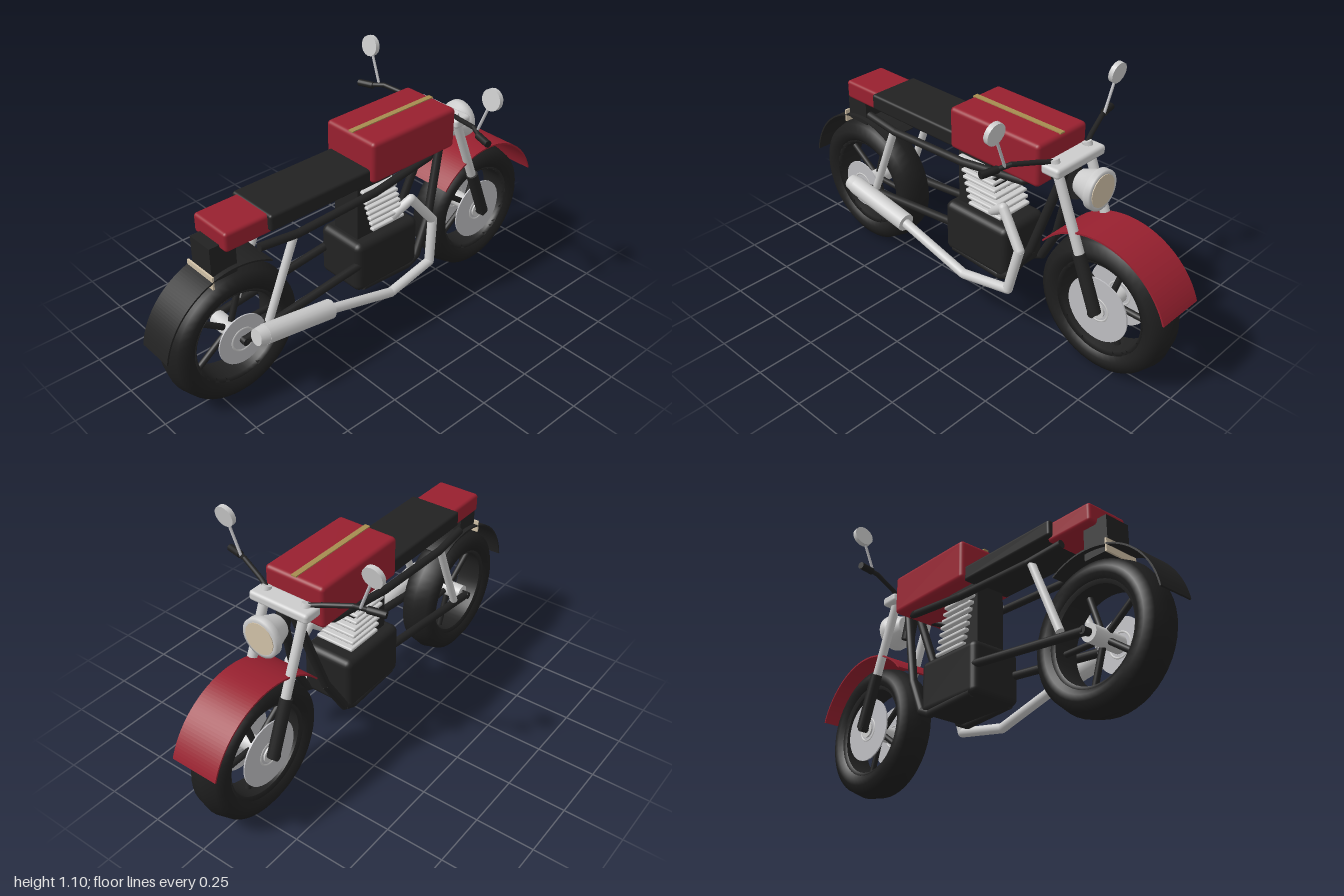
import * as THREE from 'three';
import { RoundedBoxGeometry } from 'three/addons/geometries/RoundedBoxGeometry.js';

const mat = (name, color) => {
  const m = new THREE.MeshStandardMaterial({ color });
  m.name = name;
  return m;
};
const red = mat('red paint', 0x98202f);
const black = mat('black frame', 0x222222);
const rubber = mat('tyre rubber', 0x1e1e1e);
const silver = mat('silver metal', 0xcccccc);
const steel = mat('disc steel', 0xbebec2);
const cream = mat('cream lens', 0xd2c2a8);
const gold = mat('gold stripe', 0xa68c50);

export function createModel() {
  const model = new THREE.Group();
  const add = (name, geo, material, parent = model) => {
    const m = new THREE.Mesh(geo, material);
    m.name = name;
    parent.add(m);
    return m;
  };
  const V = (p) => new THREE.Vector3(...p);

  // Box given by its x, y and half z extents
  const box = (name, x0, x1, y0, y1, hz, r, material) => {
    const [w, h, d] = [x1 - x0, y1 - y0, hz * 2];
    const geo = r ? new RoundedBoxGeometry(w, h, d, 3, r) : new THREE.BoxGeometry(w, h, d);
    const m = add(name, geo, material);
    m.position.set((x0 + x1) / 2, (y0 + y1) / 2, 0);
    return m;
  };

  // Round bar between two points
  const rod = (name, a, b, r, material, parent = model, r2 = r) => {
    const p = V(a), q = V(b), d = q.clone().sub(p);
    const m = add(name, new THREE.CylinderGeometry(r2, r, d.length(), 16), material, parent);
    m.position.copy(p).add(q).multiplyScalar(0.5);
    m.quaternion.setFromUnitVectors(new THREE.Vector3(0, 1, 0), d.normalize());
    return m;
  };

  // Bent pipe: straight bars with ball joints
  const pipe = (name, pts, r, material) => {
    const g = new THREE.Group();
    g.name = name;
    model.add(g);
    for (let i = 1; i < pts.length; i++) {
      rod(name + 'Section', pts[i - 1], pts[i], r, material, g);
      if (i < pts.length - 1) {
        add(name + 'Joint', new THREE.SphereGeometry(r, 16, 10), material, g).position.copy(V(pts[i]));
      }
    }
  };

  // Disc facing along z
  const disc = (name, r, thick, z, material, parent) => {
    const m = add(name, new THREE.CylinderGeometry(r, r, thick, 32), material, parent);
    m.rotation.x = Math.PI / 2;
    m.position.z = z;
  };

  // Wheels
  const ring = (pts) => new THREE.LatheGeometry(pts.map((p) => new THREE.Vector2(...p)), 48);
  const wheel = (name, x, discR, discZ) => {
    const g = new THREE.Group();
    g.name = name;
    g.position.set(x, 0.3, 0);
    model.add(g);
    add('tyre', ring([[0.205, -0.065], [0.225, -0.08], [0.25, -0.08], [0.282, -0.06], [0.296, 0],
      [0.282, 0.06], [0.25, 0.08], [0.225, 0.08], [0.205, 0.065]]), rubber, g).rotation.x = Math.PI / 2;
    add('rim', ring([[0.19, -0.055], [0.21, -0.065], [0.21, 0.065], [0.19, 0.055], [0.19, -0.055]]),
      black, g).rotation.x = Math.PI / 2;
    for (let i = 0; i < 5; i++) {
      const a = (i * Math.PI * 2) / 5;
      rod('spoke', [0, 0, 0], [0.2 * Math.cos(a), 0.2 * Math.sin(a), 0], 0.013, black, g);
    }
    disc('hub', 0.036, 0.16, 0, silver, g);
    disc('axle', 0.016, 0.23, 0, black, g);
    for (const z of discZ) {
      disc('brakeDisc', discR, 0.006, z, steel, g);
      add('discRing', new THREE.TorusGeometry(0.05, 0.006, 6, 32), silver, g).position.z = z;
    }
  };
  wheel('frontWheel', 0.68, 0.14, [-0.07, 0.07]);
  wheel('rearWheel', -0.67, 0.11, [0.086]);

  // Fenders
  const fender = (name, x, from, to, hz, material) => {
    const s = new THREE.Shape();
    s.absarc(0, 0, 0.336, from, to, false);
    s.absarc(0, 0, 0.329, to, from, true);
    const geo = new THREE.ExtrudeGeometry(s, { depth: hz * 2, bevelEnabled: false, curveSegments: 28 });
    add(name, geo, material).position.set(x, 0.3, -hz);
  };
  fender('frontFender', 0.68, 0.34, 2.45, 0.105, red);
  fender('rearFender', -0.67, 1.04, 2.97, 0.08, black);

  // Body
  box('fuelTank', -0.04, 0.42, 0.755, 0.935, 0.14, 0.018, red);
  box('tankStripe', -0.035, 0.415, 0.933, 0.939, 0.012, 0, gold);
  box('seat', -0.53, -0.03, 0.745, 0.815, 0.12, 0.012, black);
  box('tail', -0.72, -0.5, 0.73, 0.812, 0.1, 0.014, red);
  box('tailBracket', -0.765, -0.65, 0.6, 0.75, 0.06, 0, black);
  box('rearPlate', -0.776, -0.768, 0.585, 0.64, 0.08, 0, cream);

  // Engine
  box('crankcase', -0.1, 0.245, 0.235, 0.47, 0.12, 0.03, black);
  box('airBox', -0.06, 0.04, 0.45, 0.74, 0.07, 0, black);
  box('cylinderHead', -0.05, 0.12, 0.69, 0.755, 0.07, 0, black);
  box('cylinderCore', 0, 0.14, 0.45, 0.7, 0.065, 0, black);
  for (let i = 0; i < 8; i++) {
    const y = 0.485 + i * 0.0285, x = 0.19 - i * 0.008;
    box('coolingFin', x - 0.18, x, y, y + 0.015, 0.09, 0.006, silver);
  }

  // Mirrored frame, suspension, fork and handlebar
  for (const s of [1, -1]) {
    pipe('topRail', [[-0.575, 0.692, s * 0.1], [-0.4, 0.678, s * 0.11], [0, 0.692, s * 0.11],
      [0.31, 0.73, s * 0.1], [0.45, 0.795, s * 0.03]], 0.017, black);
    pipe('downTube', [[0.465, 0.82, s * 0.03], [0.345, 0.42, s * 0.08], [0.255, 0.26, s * 0.1],
      [0.2, 0.235, s * 0.1], [-0.06, 0.25, s * 0.1]], 0.019, black);
    rod('swingArm', [-0.67, 0.3, s * 0.1], [-0.06, 0.368, s * 0.1], 0.018, black);
    rod('rearShock', [-0.415, 0.675, s * 0.105], [-0.555, 0.335, s * 0.105], 0.017, silver);
    rod('forkTube', [0.456, 0.88, s * 0.095], [0.62, 0.47, s * 0.095], 0.02, silver);
    rod('forkSlider', [0.597, 0.53, s * 0.098], [0.688, 0.3, s * 0.098], 0.026, black);
    pipe('handlebar', [[0.455, 0.87, s * 0.1], [0.435, 0.88, s * 0.145], [0.395, 0.902, s * 0.26],
      [0.37, 0.892, s * 0.315]], 0.01, black);
    rod('grip', [0.372, 0.892, s * 0.305], [0.353, 0.888, s * 0.375], 0.015, rubber);
    rod('mirrorStem', [0.388, 0.9, s * 0.285], [0.392, 1.025, s * 0.333], 0.006, steel);
    rod('mirror', [0.383, 1.06, s * 0.346], [0.403, 1.057, s * 0.346], 0.045, silver);
  }

  // Steering head
  box('forkClamp', 0.428, 0.515, 0.828, 0.87, 0.14, 0.014, silver);
  rod('steeringHead', [0.47, 0.83, 0], [0.505, 0.7, 0], 0.03, black);

  // Headlight
  const lamp = ring([[0, 0], [0.045, 0], [0.05, 0.005], [0.074, 0.075], [0.083, 0.078],
    [0.083, 0.104], [0.07, 0.106], [0, 0.106]]);
  const light = add('headlight', lamp, silver);
  light.rotation.z = -Math.PI / 2;
  light.position.set(0.508, 0.77, 0);
  rod('headlightLens', [0.61, 0.77, 0], [0.617, 0.77, 0], 0.067, cream);

  // Exhaust on one side
  pipe('exhaustPipe', [[0.13, 0.5, 0.07], [0.215, 0.565, 0.1], [0.325, 0.425, 0.125], [0.29, 0.235, 0.15],
    [0.05, 0.193, 0.16], [-0.31, 0.293, 0.165]], 0.021, silver);
  rod('muffler', [-0.295, 0.292, 0.165], [-0.62, 0.343, 0.163], 0.041, silver);
  rod('mufflerTip', [-0.615, 0.342, 0.163], [-0.66, 0.349, 0.163], 0.041, silver, model, 0.034);

  return model;
}
